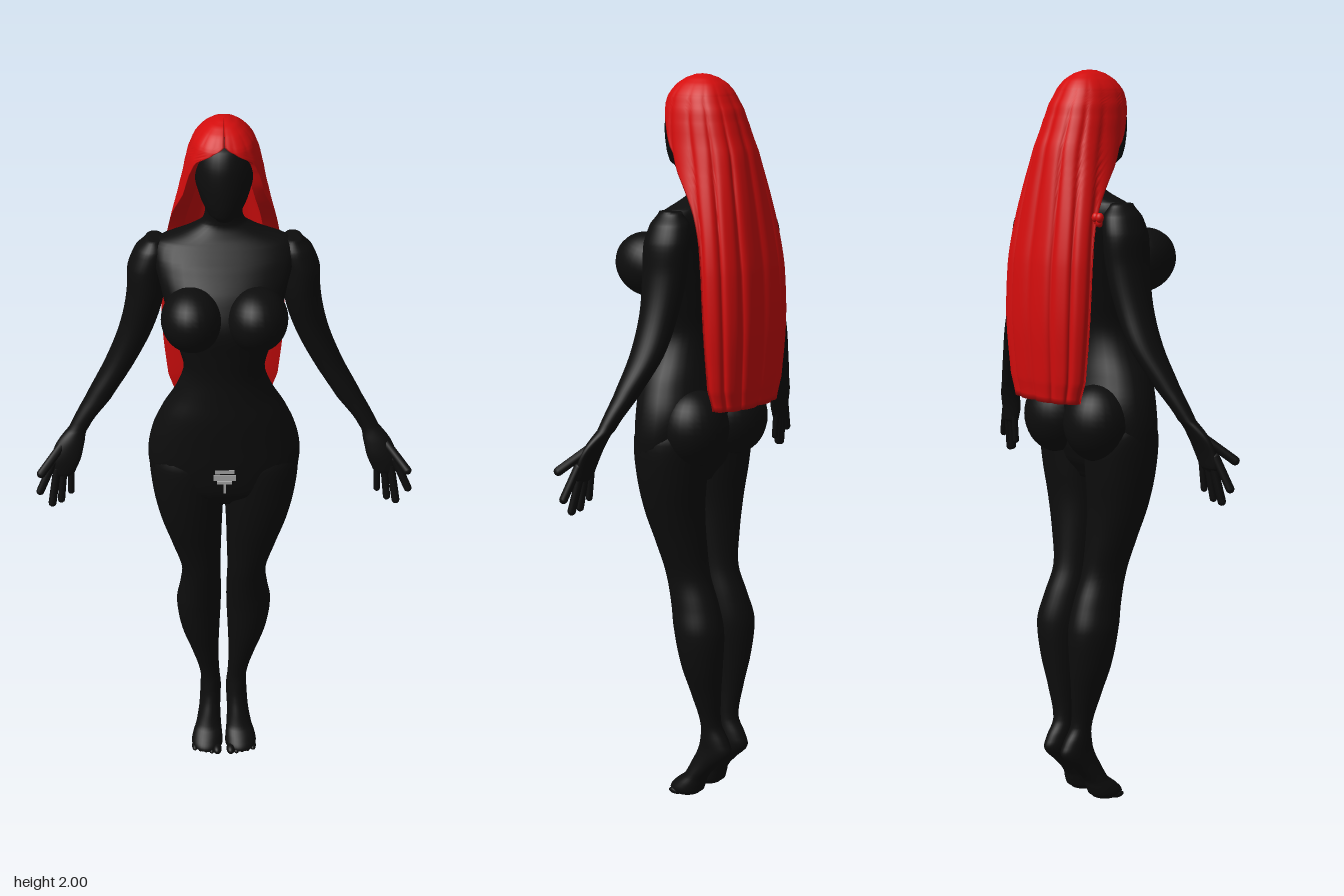
import * as THREE from 'three';

const skin = new THREE.MeshStandardMaterial({ color: 0x0d0d0d });
skin.name = 'matte black';
const red = new THREE.MeshStandardMaterial({ color: 0xd40d0d, side: THREE.DoubleSide });
red.name = 'hair red';
const grey = new THREE.MeshStandardMaterial({ color: 0xa8a8a8 });
grey.name = 'pale grey';

// Catmull-Rom interpolation of rows of numbers
function smoothRows(rows, steps) {
  const out = [], last = rows.length - 1;
  for (let i = 0; i < last; i++) {
    const [a, b, c, d] = [rows[Math.max(i - 1, 0)], rows[i], rows[i + 1], rows[Math.min(i + 2, last)]];
    for (let s = 0; s < steps; s++) {
      const t = s / steps;
      out.push(b.map((v, k) => k === 0 ? v + (c[0] - v) * t : v + 0.5 * t * (c[k] - a[k] +
        t * (2 * a[k] - 5 * v + 4 * c[k] - d[k] + t * (3 * (v - c[k]) + d[k] - a[k])))));
    }
  }
  out.push(rows[last]);
  return out;
}

// Closed skin over rings of points, ordered from bottom to top
function skinRings(rings) {
  const n = rings[0].length, top = (rings.length - 1) * n, index = [];
  for (let i = 0; i < rings.length - 1; i++) {
    for (let j = 0; j < n; j++) {
      const a = i * n + j, b = i * n + (j + 1) % n;
      index.push(a, a + n, b, b, a + n, b + n);
    }
  }
  for (let j = 0; j < n / 2 - 1; j++) {
    const p = j, q = j + 1, r = n - 2 - j, s = n - 1 - j;
    index.push(p, q, r, p, r, s, top + p, top + r, top + q, top + p, top + s, top + r);
  }
  const g = new THREE.BufferGeometry();
  g.setAttribute('position', new THREE.Float32BufferAttribute(rings.flat(2), 3));
  g.setIndex(index);
  g.computeVertexNormals();
  return g;
}

// Rows are [y, xMin, xMax, zMin, zMax]
function loft(rows, side = 1, power = 1) {
  const src = side > 0 ? rows : rows.map(([y, a, b, c, d]) => [y, -b, -a, c, d]);
  const bend = v => Math.sign(v) * Math.abs(v) ** power;
  return skinRings(smoothRows(src, 5).map(([y, x0, x1, z0, z1]) =>
    Array.from({ length: 32 }, (_, j) => {
      const t = j / 32 * Math.PI * 2;
      return [(x0 + x1) / 2 + (x1 - x0) / 2 * bend(Math.cos(t)), y,
        (z0 + z1) / 2 + (z1 - z0) / 2 * bend(Math.sin(t))];
    })));
}

const torsoRows = [
  [0.91, -0.1, 0.1, -0.02, 0.08], [0.96, -0.18, 0.18, -0.05, 0.125], [1.04, -0.203, 0.203, -0.07, 0.14],
  [1.12, -0.195, 0.195, -0.08, 0.145], [1.2, -0.163, 0.163, -0.06, 0.148], [1.27, -0.123, 0.123, -0.045, 0.145],
  [1.33, -0.106, 0.106, -0.045, 0.145], [1.4, -0.122, 0.122, -0.06, 0.155], [1.48, -0.145, 0.145, -0.08, 0.165],
  [1.56, -0.165, 0.165, -0.095, 0.13], [1.62, -0.18, 0.18, -0.1, 0.08], [1.66, -0.17, 0.17, -0.09, 0.04],
  [1.685, -0.1, 0.1, -0.08, 0.02], [1.71, -0.055, 0.055, -0.07, 0.01], [1.76, -0.046, 0.046, -0.06, 0.02],
  [1.82, -0.046, 0.046, -0.05, 0.04],
];
const headRows = [
  [1.755, -0.02, 0.02, 0.045, 0.085], [1.77, -0.04, 0.04, 0, 0.1], [1.8, -0.058, 0.058, -0.05, 0.108],
  [1.85, -0.073, 0.073, -0.075, 0.11], [1.9, -0.075, 0.075, -0.08, 0.104], [1.94, -0.064, 0.064, -0.07, 0.085],
  [1.965, -0.035, 0.035, -0.04, 0.045],
];
const legRows = [
  [0.004, 0.012, 0.085, -0.02, 0.055], [0.015, 0.004, 0.095, -0.033, 0.065], [0.035, 0.005, 0.092, -0.04, 0.05],
  [0.06, 0.008, 0.082, -0.05, 0.02], [0.1, 0.01, 0.073, -0.085, 0.0], [0.14, 0.008, 0.069, -0.124, -0.018],
  [0.17, 0.008, 0.068, -0.118, -0.026], [0.22, 0.012, 0.068, -0.09, -0.03], [0.3, 0.015, 0.088, -0.095, -0.012],
  [0.4, 0.012, 0.12, -0.108, 0.012], [0.5, 0.008, 0.134, -0.114, 0.03], [0.57, 0.008, 0.124, -0.095, 0.045],
  [0.65, 0.01, 0.118, -0.065, 0.065], [0.74, 0.008, 0.142, -0.056, 0.085], [0.84, 0.005, 0.172, -0.055, 0.11],
  [0.94, 0, 0.193, -0.065, 0.126], [1.04, 0, 0.2, -0.07, 0.13], [1.1, 0.02, 0.18, -0.05, 0.11],
];
const armRows = [
  [0.99, 0.412, 0.46, 0.042, 0.06], [1.0, 0.402, 0.468, 0.036, 0.062], [1.04, 0.385, 0.465, 0.028, 0.06],
  [1.08, 0.375, 0.45, 0.013, 0.05], [1.12, 0.362, 0.415, -0.008, 0.035], [1.2, 0.3, 0.37, -0.04, 0.025],
  [1.3, 0.235, 0.315, -0.075, 0.018], [1.4, 0.185, 0.275, -0.086, 0.02], [1.5, 0.155, 0.253, -0.095, 0.03],
  [1.58, 0.148, 0.248, -0.1, 0.03], [1.63, 0.14, 0.228, -0.09, 0.02], [1.662, 0.155, 0.2, -0.065, 0],
];
// Finger roots and tips, thumb last
const fingers = [
  [[0.46, 1.03, 0.05], [0.497, 0.95, 0.068], 0.011], [[0.45, 1.01, 0.05], [0.466, 0.912, 0.068], 0.011],
  [[0.432, 1.01, 0.048], [0.442, 0.918, 0.06], 0.01], [[0.412, 1.02, 0.045], [0.415, 0.94, 0.052], 0.009],
  [[0.435, 1.075, 0.035], [0.49, 1.02, 0.09], 0.012],
];
// Hair rows: y, half width, centre z, depth, wrap angle, thickness
const hairRows = [
  [1.14, 0.135, -0.125, 0.066, 1.5, 0.05], [1.2, 0.153, -0.12, 0.08, 1.5, 0.05],
  [1.35, 0.167, -0.115, 0.095, 1.5, 0.05], [1.5, 0.166, -0.105, 0.1, 1.5, 0.05],
  [1.6, 0.155, -0.09, 0.1, 1.52, 0.045], [1.7, 0.137, -0.06, 0.112, 1.62, 0.04],
  [1.8, 0.114, -0.03, 0.12, 1.95, 0.035], [1.87, 0.1, -0.012, 0.112, 2.15, 0.03],
  [1.91, 0.091, -0.005, 0.104, 2.35, 0.025], [1.94, 0.08, 0, 0.092, 2.9, 0.02],
  [1.955, 0.072, 0, 0.083, 3.14, 0.02], [1.975, 0.055, 0, 0.066, 3.14, 0.02],
  [1.99, 0.035, 0, 0.043, 3.14, 0.02], [1.998, 0.015, 0, 0.02, 3.14, 0.014], [2.0, 0.002, 0, 0.002, 3.14, 0.002],
];

function hairGeometry() {
  const m = 112;
  return skinRings(smoothRows(hairRows, 4).map(([y, w, zc, d, wrap, thick]) => {
    const fade = THREE.MathUtils.clamp((1.99 - y) / 0.25, 0, 1);
    const arc = inner => Array.from({ length: m + 1 }, (_, j) => {
      const t = (j / m * 2 - 1) * Math.min(wrap, Math.PI - 0.002);
      // Locks: shallow scallops with narrow grooves between them
      const cut = inner ? thick : 0.009 * fade * (1 - Math.abs(Math.sin(t * 6.5))) ** 2;
      const c = Math.cos(t), s = Math.sin(t);
      return [Math.max(w - cut, 0.001) * Math.sign(s) * Math.abs(s) ** 0.85, y,
        zc - Math.max(d - cut, 0.001) * Math.sign(c) * Math.abs(c) ** 0.85];
    });
    return [...arc(false), ...arc(true).reverse()];
  }));
}

export function createModel() {
  const model = new THREE.Group();
  model.name = 'figure';
  const add = (name, geometry, material = skin, parent = model) => {
    const mesh = new THREE.Mesh(geometry, material);
    mesh.name = name;
    parent.add(mesh);
    return mesh;
  };
  const ball = (name, pos, radii, material = skin) => {
    const b = add(name, new THREE.SphereGeometry(1, 28, 20), material);
    b.position.set(...pos);
    b.scale.set(...radii);
    return b;
  };

  add('torso', loft(torsoRows, 1, 0.92));
  add('head', loft(headRows));
  for (const side of [1, -1]) {
    const label = side > 0 ? 'left' : 'right';
    add(label + 'Leg', loft(legRows, side));
    add(label + 'Arm', loft(armRows, side));
    ball(label + 'Chest', [side * 0.082, 1.5, 0.115], [0.08, 0.085, 0.098]).rotation.x = -0.25;
    ball(label + 'Seat', [side * 0.088, 1.075, -0.04], [0.095, 0.105, 0.092]);
    // Toes, longest on the inside
    for (let i = 0; i < 5; i++) {
      const r = i ? 0.009 : 0.013;
      ball(label + 'Toe', [side * (0.02 + i * 0.0165), r + 0.002, 0.052 - i * 0.005], [r, r, 0.021]);
    }
    const hand = new THREE.Group();
    hand.name = label + 'Fingers';
    model.add(hand);
    for (const [root, tip, r] of fingers) {
      const a = new THREE.Vector3(...root), b = new THREE.Vector3(...tip);
      a.x *= side;
      b.x *= side;
      const finger = add('finger', new THREE.CapsuleGeometry(r, a.distanceTo(b), 5, 10), skin, hand);
      finger.position.copy(a).lerp(b, 0.5);
      finger.quaternion.setFromUnitVectors(new THREE.Vector3(0, 1, 0), b.sub(a).normalize());
    }
  }

  // Long hair and one stray lock by the right shoulder
  add('hair', hairGeometry(), red);
  for (let i = 0; i < 4; i++) {
    ball('strayLock', [-0.142 - i * 0.008, 1.615 + (i % 2) * 0.012, -0.09 - (i % 2) * 0.006], [0.011, 0.013, 0.011], red);
  }

  // Small pale plate on the front of the hips
  for (const [y, w, h] of [[1.053, 0.052, 0.012], [1.034, 0.06, 0.018], [1.018, 0.04, 0.008], [1.0, 0.006, 0.03]]) {
    add('hipPlate', new THREE.BoxGeometry(w, h, 0.008), grey).position.set(0, y, 0.138);
  }
  return model;
}
